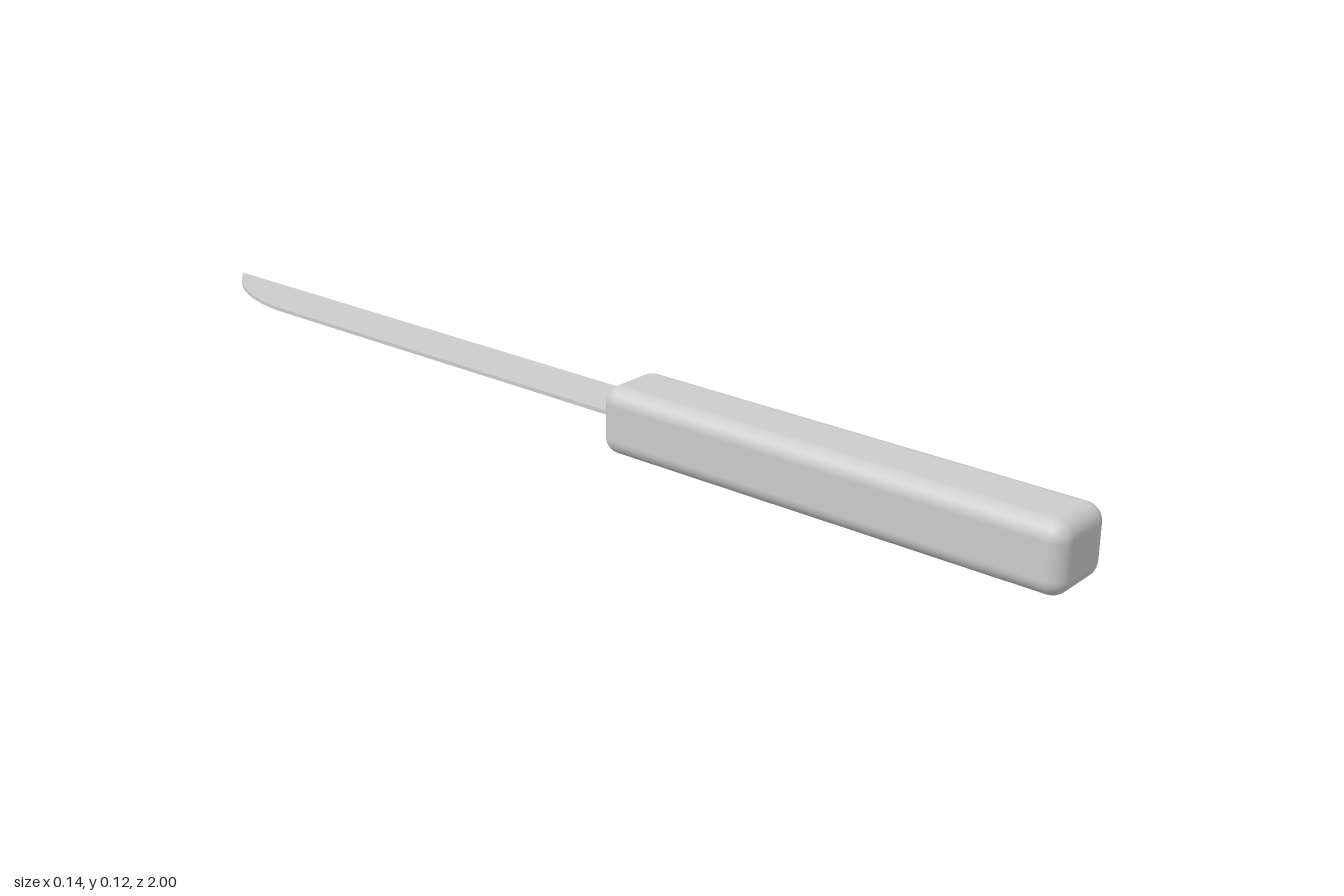
import * as THREE from 'three';
import { RoundedBoxGeometry } from 'three/addons/geometries/RoundedBoxGeometry.js';

export function createModel() {
  const group = new THREE.Group();
  group.name = 'knife';
  const material = new THREE.MeshStandardMaterial({ color: 0xcccccc });

  // Handle: a long bar with rounded edges
  const handle = new THREE.Mesh(new RoundedBoxGeometry(0.138, 0.125, 0.9, 6, 0.031), material);
  handle.name = 'handle';
  handle.position.set(0, 0.0625, 0.55);
  group.add(handle);

  // Blade: flat outline with a straight spine at +x and a curved tip, laid down so its length runs to -z
  const half = 0.053, thickness = 0.007;
  const outline = new THREE.Shape();
  outline.moveTo(-half, -0.14);
  outline.lineTo(half, -0.14);
  outline.lineTo(half, 1);
  outline.quadraticCurveTo(-0.045, 0.91, -half, 0.76);
  outline.closePath();
  const bladeGeometry = new THREE.ExtrudeGeometry(outline, {
    depth: thickness, bevelEnabled: false, curveSegments: 20,
  });
  bladeGeometry.rotateX(-Math.PI / 2);
  const blade = new THREE.Mesh(bladeGeometry, material);
  blade.name = 'blade';
  blade.position.y = 0.072 - thickness / 2;
  group.add(blade);

  return group;
}
